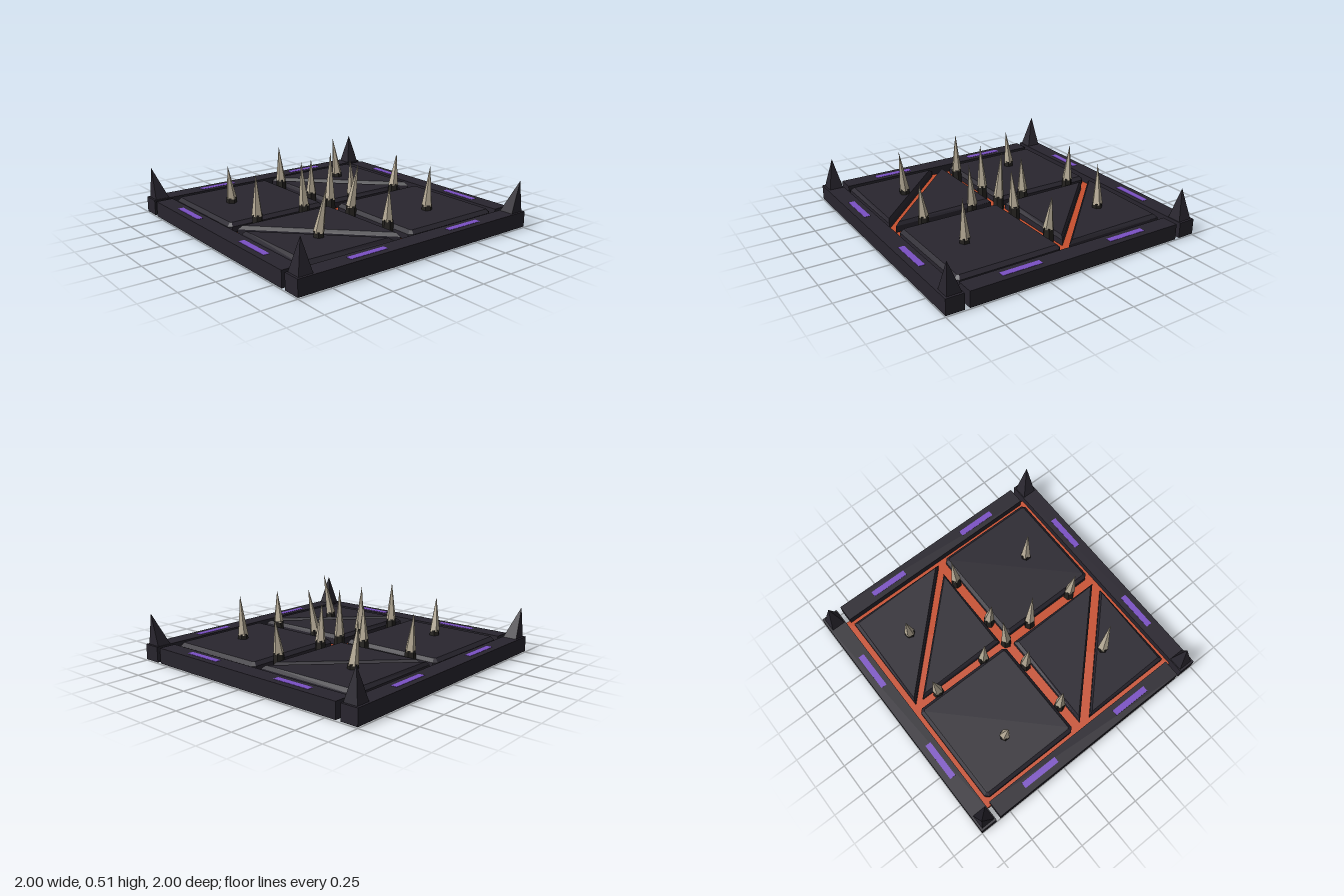
import * as THREE from 'three';

const mat = (color) => new THREE.MeshStandardMaterial({ color, flatShading: true });

export function createModel() {
  const group = new THREE.Group();
  const stone = mat(0x28252e), slabStone = mat(0x29262f), lava = mat(0xc8502f);
  const violet = mat(0x7a50c4), bone = mat(0xb8ad98), collar = mat(0x24221f);

  const add = (name, geo, material, x = 0, y = 0, z = 0) => {
    const m = new THREE.Mesh(geo, material);
    m.name = name;
    m.position.set(x, y, z);
    group.add(m);
    return m;
  };
  const box = (name, material, w, h, d, x, y, z) =>
    add(name, new THREE.BoxGeometry(w, h, d), material, x, y, z);

  // Glowing floor under the slabs
  box('lavaBed', lava, 1.78, 0.06, 1.78, 0, 0.03, 0);

  // Border beams with two inlaid strips each
  for (const s of [-1, 1]) {
    box('crossBeam', stone, 2, 0.115, 0.13, 0, 0.0655, s * 0.935);
    box('sideBeam', stone, 0.13, 0.115, 1.67, s * 0.935, 0.0655, 0);
    for (const t of [-1, 1]) {
      box('violetInlay', violet, 0.3, 0.01, 0.045, t * 0.425, 0.12, s * 0.932);
      box('violetInlay', violet, 0.045, 0.01, 0.3, s * 0.932, 0.12, t * 0.425);
    }
  }

  // Bevelled floor slabs, outlines given as [x, z]
  const slab = (name, outline, top) => {
    const shape = new THREE.Shape(outline.map(([x, z]) => new THREE.Vector2(x, -z)));
    const bevel = 0.025;
    const geo = new THREE.ExtrudeGeometry(shape, {
      depth: top - 0.04 - 2 * bevel, bevelEnabled: true, bevelSegments: 1,
      bevelSize: bevel, bevelThickness: bevel, bevelOffset: -bevel,
    });
    geo.rotateX(-Math.PI / 2);
    add(name, geo, slabStone, 0, 0.04 + bevel, 0);
  };
  const chamferedRect = (x0, z0, x1, z1, c) => [
    [x0 + c, z0], [x1 - c, z0], [x1, z0 + c], [x1, z1 - c],
    [x1 - c, z1], [x0 + c, z1], [x0, z1 - c], [x0, z0 + c],
  ];
  slab('squareSlab', chamferedRect(-0.84, -0.835, -0.03, -0.035, 0.025), 0.13);
  slab('squareSlab', chamferedRect(0.03, 0.035, 0.835, 0.835, 0.025), 0.132);
  slab('triangleSlab', [[0.03, -0.825], [0.825, -0.825], [0.825, -0.03]], 0.135);
  slab('triangleSlab', [[0.03, -0.76], [0.03, -0.04], [0.74, -0.04]], 0.13);
  slab('triangleSlab', [[-0.82, 0.04], [-0.045, 0.04], [-0.045, 0.82]], 0.135);
  slab('triangleSlab', [[-0.835, 0.12], [-0.835, 0.835], [-0.12, 0.835]], 0.13);

  // Cone whose tip leans sideways by (dx, dz); base sits at y = 0
  const leaningCone = (r, h, sides, turn, dx, dz) => {
    const geo = new THREE.ConeGeometry(r, h, sides);
    geo.rotateY(turn);
    geo.translate(0, h / 2, 0);
    const p = geo.attributes.position;
    for (let i = 0; i < p.count; i++) {
      const k = p.getY(i) / h;
      p.setX(i, p.getX(i) + dx * k);
      p.setZ(i, p.getZ(i) + dz * k);
    }
    geo.computeVertexNormals();
    return geo;
  };

  // Bone spikes: base x, base z, tip x, tip height, tip z
  const spikes = [
    [-0.57, -0.46, -0.60, 0.415, -0.45], [0.49, -0.54, 0.455, 0.455, -0.555],
    [-0.50, 0.53, -0.47, 0.48, 0.575], [0.455, 0.555, 0.46, 0.46, 0.57],
    [-0.005, -0.64, -0.01, 0.435, -0.66], [-0.01, -0.22, -0.02, 0.425, -0.21],
    [0.01, 0.235, 0.04, 0.485, 0.275], [0.01, 0.63, 0, 0.41, 0.65],
    [-0.635, 0, -0.64, 0.46, 0], [-0.235, 0, -0.26, 0.49, 0],
    [0, 0, 0.015, 0.515, -0.015], [0.21, 0, 0.18, 0.44, 0.01],
    [0.63, 0, 0.66, 0.41, 0],
  ];
  spikes.forEach(([x, z, tx, ty, tz], i) => {
    const base = new THREE.CylinderGeometry(0.037, 0.042, 0.115, 6);
    base.rotateY(i * 0.7);
    add('spikeCollar', base, collar, x, 0.1125, z);
    add('boneSpike', leaningCone(0.04, ty - 0.16, 5, i * 1.3, tx - x, tz - z), bone, x, 0.16, z);
  });

  // Dark four-sided horns on the corners, alternately leaning outwards
  for (const sx of [-1, 1]) for (const sz of [-1, 1]) {
    const lean = sx === sz ? 0.037 : 0;
    const horn = leaningCone(0.076, 0.23, 4, Math.PI / 4, sx * lean, sz * lean);
    add('cornerHorn', horn, stone, sx * 0.93, 0.12, sz * 0.93);
  }

  return group;
}
